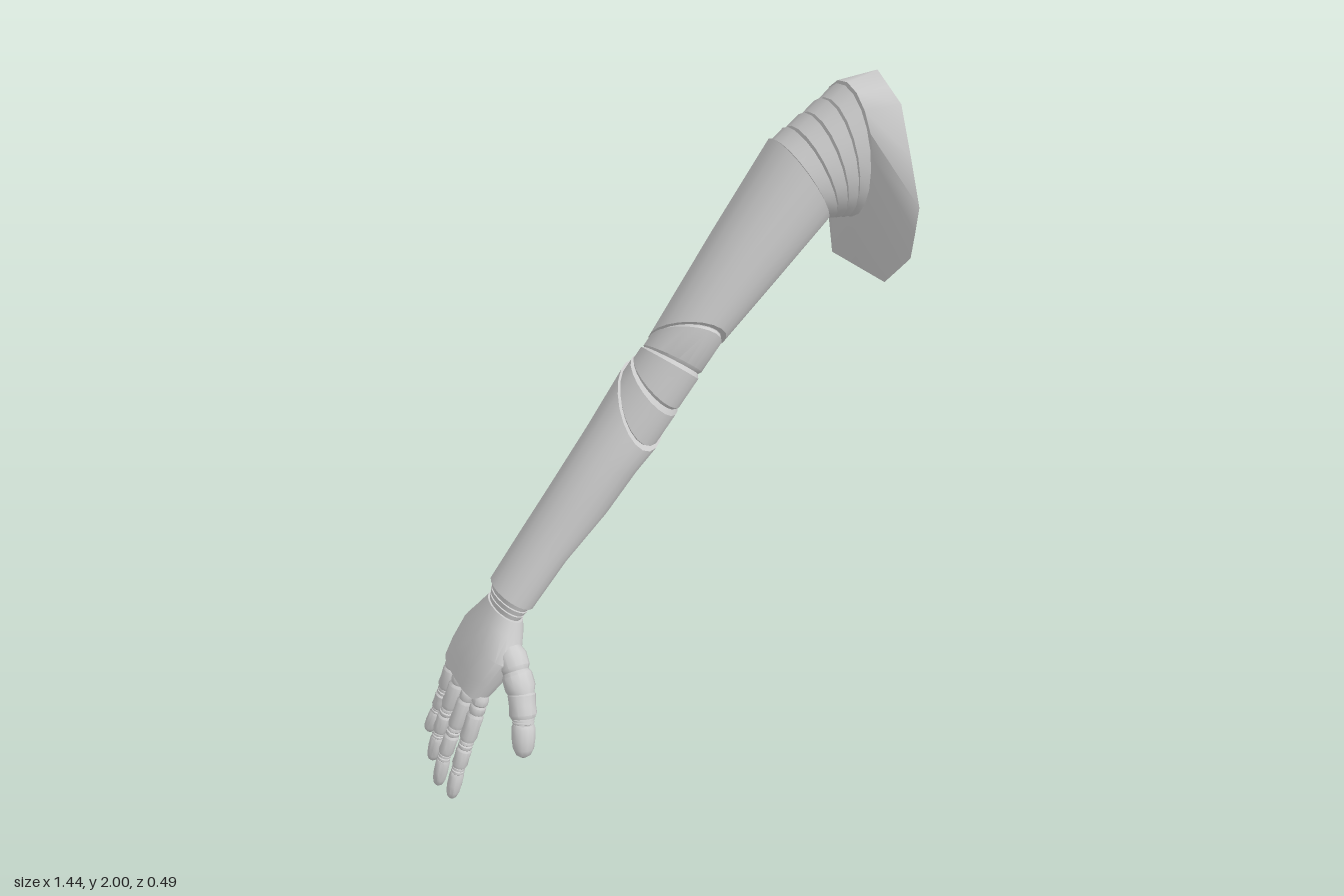
import * as THREE from 'three';
import { toCreasedNormals } from 'three/addons/utils/BufferGeometryUtils.js';

const grey = new THREE.MeshStandardMaterial({ color: 0xcccccc, side: THREE.DoubleSide });
grey.name = 'light grey plating';

// Ring through an upper edge point a and a lower edge point b, with depth centre zc and
// half depth zr; (sx, sy) slants its front side, p < 1 squares it off
function ring([ax, ay, bx, by, zc, zr, sx = 0, sy = 0], s = 1, n = 20, p = 1) {
  const pts = [];
  const pow = (v) => Math.sign(v) * Math.abs(v) ** p;
  for (let i = 0; i < n; i++) {
    const t = (i / n) * Math.PI * 2;
    const c = pow(Math.cos(t)) * s, k = pow(Math.sin(t)) * s;
    pts.push([(ax + bx) / 2 + ((ax - bx) / 2) * c + sx * k, (ay + by) / 2 + ((ay - by) / 2) * c + sy * k, zc + zr * k]);
  }
  return pts;
}

// Skin over a list of closed rings, running from the shoulder towards the hand
function loft(name, rings, crease = 0.6) {
  const n = rings[0].length, pos = [], idx = [];
  rings.forEach((r) => r.forEach((p) => pos.push(...p)));
  for (let i = 0; i < rings.length - 1; i++) {
    for (let j = 0; j < n; j++) {
      const a = i * n + j, d = i * n + ((j + 1) % n);
      idx.push(a, a + n, d, d, a + n, d + n);
    }
  }
  const g = new THREE.BufferGeometry();
  g.setAttribute('position', new THREE.Float32BufferAttribute(pos, 3));
  g.setIndex(idx);
  const mesh = new THREE.Mesh(toCreasedNormals(g, crease), grey);
  mesh.name = name;
  return mesh;
}

// Overlapping pleats between two rings
function bellows(name, from, to, count, big, small) {
  const rings = [];
  const at = (t, s) => rings.push(ring(from.map((v, i) => v + (to[i] - v) * t), s));
  for (let k = 0; k < count; k++) {
    at((k + 0.02) / count, small);
    at((k + 0.12) / count, big);
    at((k + 0.94) / count, big * 0.97);
  }
  at(1, small);
  return loft(name, rings, 0.5);
}

// Turned piece from p to q; profile holds [radius factor, length fraction]
function turned(name, p, q, r, profile) {
  const len = p.distanceTo(q);
  const g = new THREE.LatheGeometry(profile.map(([x, y]) => new THREE.Vector2(x * r, y * len)), 12);
  g.deleteAttribute('uv');
  const mesh = new THREE.Mesh(toCreasedNormals(g, 0.7), grey);
  mesh.name = name;
  mesh.position.copy(p);
  mesh.quaternion.setFromUnitVectors(new THREE.Vector3(0, 1, 0), q.clone().sub(p).normalize());
  return mesh;
}

const BONE = [[0, 0], [0.8, 0], [1, 0.1], [0.95, 0.5], [1, 0.85], [0.85, 1], [0, 1]];
const JOINT = [[0.7, -0.1], [0.9, 0.1], [0.9, 0.4], [0.76, 0.5], [0.9, 0.6], [0.9, 0.9], [0.7, 1.1]];
const TIP = [[0, 0], [0.85, 0], [1, 0.1], [1, 0.45], [0.9, 0.72], [0.65, 0.9], [0.3, 0.98], [0, 1]];

// Jointed digit along a curve; stops are the fractions where pieces alternate
function digit(name, points, stops, radius, taper) {
  const group = new THREE.Group();
  group.name = name;
  const curve = new THREE.CatmullRomCurve3(points.map((p) => new THREE.Vector3(...p)));
  for (let i = 0; i < stops.length - 1; i++) {
    const last = i === stops.length - 2;
    const kind = last ? ['fingertip', TIP] : i % 2 ? ['phalanx', BONE] : ['joint', JOINT];
    group.add(turned(kind[0], curve.getPointAt(stops[i]), curve.getPointAt(stops[i + 1]), radius * (1 - taper * stops[i]), kind[1]));
  }
  return group;
}

export function createModel() {
  const model = new THREE.Group();
  model.name = 'arm';

  // Key rings of the arm
  const collarIn = [0.63, 1.982, 0.656, 1.585, -0.06, 0.133, 0, 0];
  const upperTop = [0.437, 1.848, 0.568, 1.605, -0.068, 0.13, 0, 0];
  const upperEnd = [0.098, 1.39, 0.225, 1.27, -0.055, 0.1, 0.05, 0.07];
  const foreTop = [-0.055, 1.21, 0.088, 1.085, -0.053, 0.1, -0.045, -0.075];
  const foreEnd = [-0.462, 0.668, -0.352, 0.585, -0.047, 0.084, 0, 0];
  const palmTop = [-0.475, 0.605, -0.388, 0.555, -0.045, 0.077, 0, 0];

  // Flaring collar: [z, y] rim points from the top towards the front, with edge midpoints added
  const rim = [[-0.058, 2], [0.06, 1.95], [0.19, 1.71], [0.19, 1.56], [0.105, 1.445], [-0.15, 1.413], [-0.243, 1.58], [-0.24, 1.72], [-0.19, 1.91]];
  const outer = rim.flatMap(([z, y], i) => {
    const [z2, y2] = rim[(i + 1) % rim.length];
    return [[z, y], [(z + z2) / 2, (y + y2) / 2]];
  }).map(([z, y]) => [0.722 - 0.032 * ((2 - y) / 0.587) ** 3, y, z]);
  model.add(loft('shoulderCollar', [outer, ring(collarIn, 1, 18), ring(collarIn, 0.88, 18)], 0.9));

  // Shoulder pleats and upper arm shell
  model.add(bellows('shoulderBellows', collarIn, upperTop, 4, 0.98, 0.88));
  model.add(loft('upperArm', [
    ring(upperTop, 0.86),
    ring(upperTop),
    ring([0.27, 1.63, 0.4, 1.44, -0.061, 0.114, 0.02, 0.028]),
    ring(upperEnd),
    ring(upperEnd, 0.86),
  ]));

  // Elbow pleats and forearm shell
  model.add(bellows('elbowBellows', upperEnd, foreTop, 3, 0.96, 0.87));
  model.add(loft('forearm', [
    ring(foreTop, 0.86),
    ring(foreTop),
    ring([-0.155, 1.08, 0.01, 0.99, -0.05, 0.097, -0.02, -0.025]),
    ring([-0.275, 0.92, -0.1, 0.855, -0.049, 0.091]),
    ring([-0.365, 0.8, -0.235, 0.725, -0.048, 0.086]),
    ring(foreEnd),
    ring(foreEnd, 0.8),
  ]));

  // Wrist pleats and palm
  model.add(bellows('wristBellows', foreEnd, palmTop, 3, 0.92, 0.8));
  const palmEnd = [-0.607, 0.37, -0.525, 0.352, -0.05, 0.118];
  model.add(loft('palm', [
    ring(palmTop, 0.8),
    ring(palmTop),
    ring([-0.5, 0.57, -0.395, 0.52, -0.043, 0.095], 1, 20, 0.9),
    ring([-0.542, 0.505, -0.42, 0.46, -0.038, 0.134], 1, 20, 0.8),
    ring([-0.583, 0.43, -0.475, 0.4, -0.045, 0.127], 1, 20, 0.75),
    ring(palmEnd, 1, 20, 0.7),
    ring(palmEnd, 0.85, 20, 0.7),
    ring(palmEnd, 0, 20, 0.7),
  ]));

  // Four fingers: base z, then tip x, y, z and sideways bow
  const stops = [0, 0.16, 0.42, 0.5, 0.68, 0.74, 1];
  [
    ['indexFinger', 0.055, -0.7, 0.032, 0.094, -0.006],
    ['middleFinger', -0.01, -0.71, 0.004, 0.004, -0.012],
    ['ringFinger', -0.08, -0.692, 0.015, -0.09, -0.008],
    ['littleFinger', -0.142, -0.67, 0.058, -0.168, 0.006],
  ].forEach(([name, z, tx, ty, tz, bow]) => {
    const bx = -0.562, by = 0.365;
    const at = (f, b) => [bx + (tx - bx) * f + b, by + (ty - by) * f, z + (tz - z) * f];
    model.add(digit(name, [at(0, 0), at(0.35, bow * 0.7), at(0.72, bow), at(1, 0)], stops, 0.027, 0.25));
  });

  // Thumb
  model.add(digit('thumb', [[-0.462, 0.495, 0.05], [-0.468, 0.43, 0.13], [-0.49, 0.345, 0.19], [-0.512, 0.248, 0.228]],
    [0, 0.38, 0.62, 0.67, 1], 0.05, 0.46));

  return model;
}
